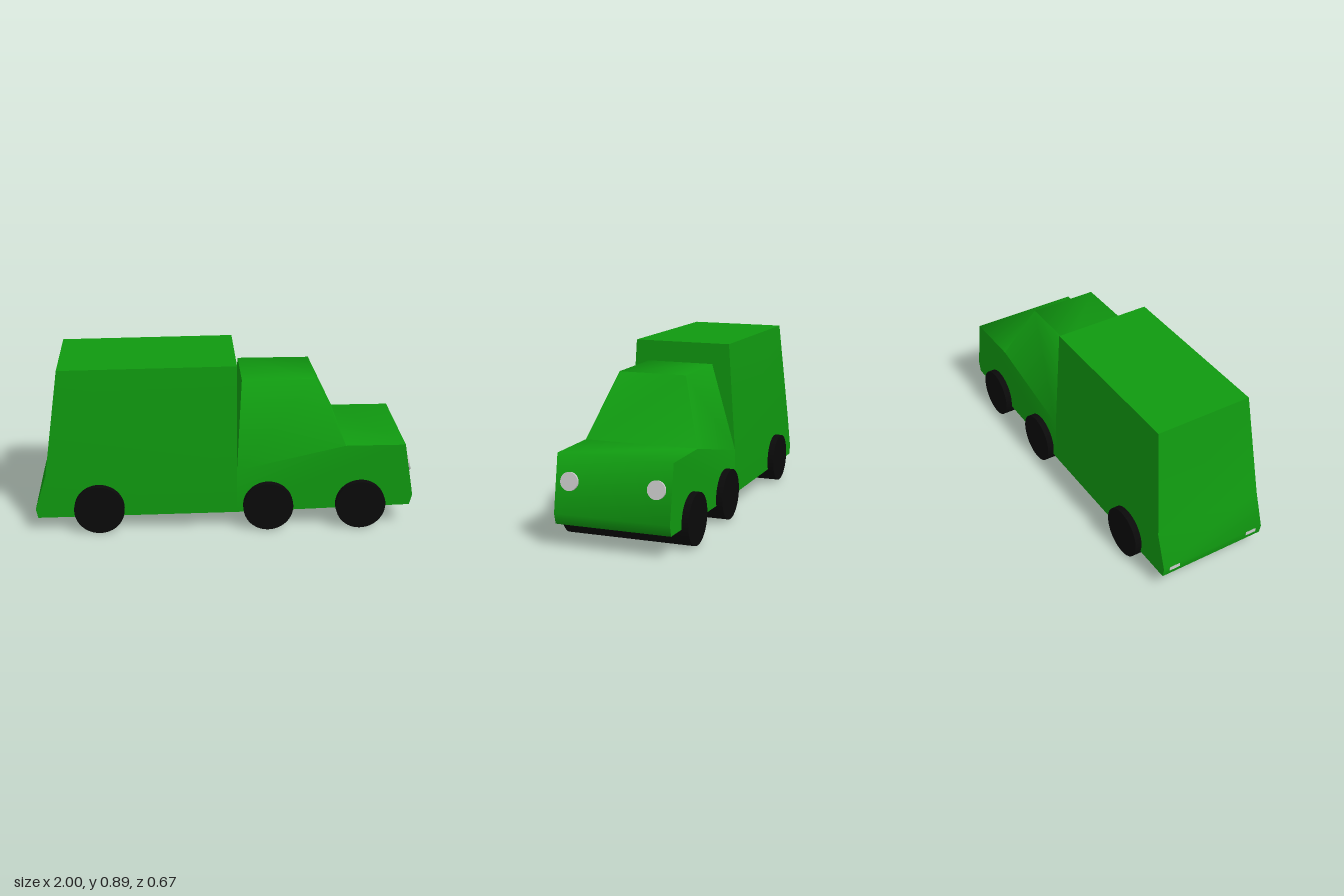
import * as THREE from 'three';
import { toCreasedNormals } from 'three/addons/utils/BufferGeometryUtils.js';

const green = new THREE.MeshStandardMaterial({ color: 0x109910 });
const black = new THREE.MeshStandardMaterial({ color: 0x0a0a0a });
const grey = new THREE.MeshStandardMaterial({ color: 0xcccccc });

// Closed shell from a counterclockwise side outline of [x, y, halfWidth];
// panels list the outline corners of each side face, mirrored to both sides.
function shell(outline, panels, crease) {
  const positions = [];
  const corner = (i, side) => {
    const [x, y, w] = outline[i];
    positions.push(x, y, w * side);
  };
  outline.forEach((_, a) => {
    const b = (a + 1) % outline.length;
    corner(a, 1); corner(a, -1); corner(b, -1);
    corner(a, 1); corner(b, -1); corner(b, 1);
  });
  for (const p of panels) {
    for (let k = 1; k < p.length - 1; k++) {
      corner(p[0], 1); corner(p[k], 1); corner(p[k + 1], 1);
      corner(p[0], -1); corner(p[k + 1], -1); corner(p[k], -1);
    }
  }
  const geometry = new THREE.BufferGeometry();
  geometry.setAttribute('position', new THREE.Float32BufferAttribute(positions, 3));
  return toCreasedNormals(geometry, crease);
}

export function createModel() {
  const model = new THREE.Group();
  model.name = 'van';
  const add = (name, geometry, material, x = 0, y = 0, z = 0) => {
    const mesh = new THREE.Mesh(geometry, material);
    mesh.name = name;
    mesh.position.set(x, y, z);
    model.add(mesh);
    return mesh;
  };

  // Tall cargo box with tapered sides
  add('cargoBox', shell([
    [-0.99, 0.08, 0.3], [0.06, 0.09, 0.3], [0.06, 0.32, 0.3], [0.06, 0.895, 0.262],
    [-0.86, 0.885, 0.262], [-0.94, 0.32, 0.3], [-1, 0.13, 0.3],
  ], [[0, 1, 2, 5, 6], [2, 3, 4, 5]], 1.0), green);

  // Cab and bonnet, softly blended except at the bonnet edges
  add('cab', shell([
    [0.06, 0.09, 0.3], [0.72, 0.115, 0.3], [0.98, 0.115, 0.3], [0.995, 0.17, 0.3],
    [0.945, 0.46, 0.3], [0.63, 0.46, 0.3], [0.475, 0.79, 0.18], [0.09, 0.79, 0.18],
    [0.06, 0.33, 0.3],
  ], [[0, 1, 2, 3, 4, 5, 8], [8, 5, 6, 7]], 1.45), green);

  // Full-width wheel rollers
  const wheel = new THREE.CylinderGeometry(0.132, 0.132, 0.67, 48).rotateX(Math.PI / 2);
  ['rearWheels', 'middleWheels', 'frontWheels'].forEach((name, i) =>
    add(name, wheel, black, [-0.665, 0.225, 0.715][i], 0.132, 0));

  // Lights, following the slope of the nose and tail
  const headlight = new THREE.CylinderGeometry(0.046, 0.046, 0.02, 32).rotateZ(-Math.PI / 2);
  const tailLight = new THREE.BoxGeometry(0.012, 0.022, 0.06);
  for (const side of [-1, 1]) {
    add('headlight', headlight, grey, 0.97, 0.33, side * 0.225).rotation.z = 0.17;
    add('tailLight', tailLight, grey, -0.994, 0.12, side * 0.235);
  }
  return model;
}
